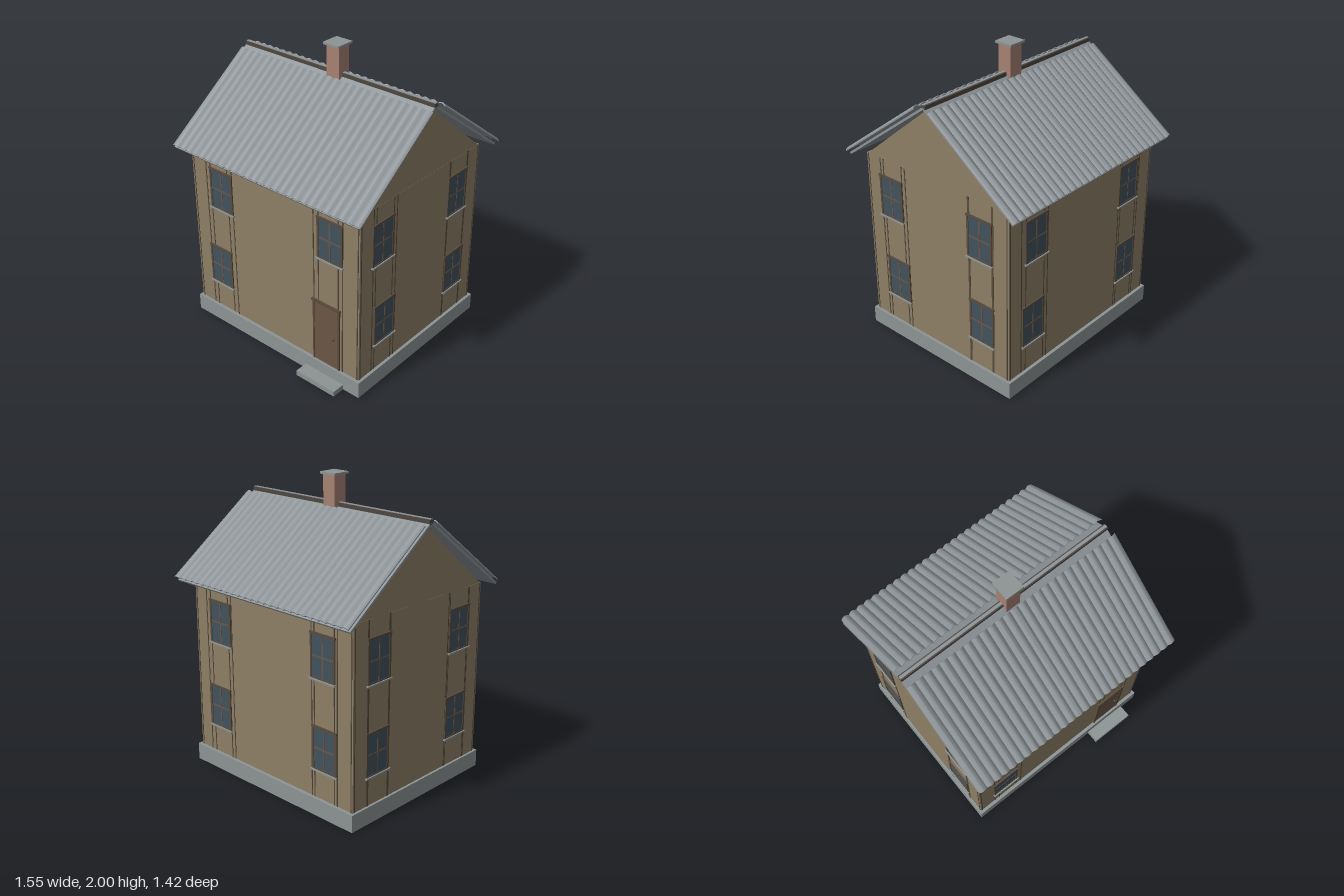
import * as THREE from 'three';
import { toCreasedNormals } from 'three/addons/utils/BufferGeometryUtils.js';

const mat = (name, color) => {
  const m = new THREE.MeshStandardMaterial({ color });
  m.name = name;
  return m;
};

export function createModel() {
  const M = {
    wall: mat('wall tan', 0x8e7f66),
    stone: mat('foundation grey', 0x8d9494),
    roof: mat('roof grey', 0x8d9498),
    brick: mat('brick', 0xa68272),
    frame: mat('frame brown', 0x5a4a3b),
    strip: mat('seam brown', 0x574c3e),
    door: mat('door brown', 0x6b5746),
    glass: mat('glass blue', 0x41525d),
    ridge: mat('ridge dark', 0x4f4640),
  };
  const house = new THREE.Group();
  house.name = 'house';

  // box given by its minimum and maximum along each axis
  const box = (parent, name, m, x0, x1, y0, y1, z0, z1) => {
    const mesh = new THREE.Mesh(new THREE.BoxGeometry(x1 - x0, y1 - y0, z1 - z0), m);
    mesh.position.set((x0 + x1) / 2, (y0 + y1) / 2, (z0 + z1) / 2);
    mesh.name = name;
    parent.add(mesh);
    return mesh;
  };

  // base, step and walls
  box(house, 'foundation', M.stone, -0.733, 0.71, 0, 0.115, -0.62, 0.62);
  box(house, 'doorStep', M.stone, 0.27, 0.585, 0, 0.037, 0.62, 0.71);
  box(house, 'walls', M.wall, -0.717, 0.69, 0.115, 1.3, -0.598, 0.598);

  // attic prism with the two gables
  const tri = new THREE.Shape([[-0.585, 1.3], [0.585, 1.3], [0, 1.78]].map((p) => new THREE.Vector2(...p)));
  const gable = new THREE.Mesh(new THREE.ExtrudeGeometry(tri, { depth: 1.405, bevelEnabled: false }), M.wall);
  gable.rotation.y = Math.PI / 2;
  gable.position.x = -0.716;
  gable.name = 'gable';
  house.add(gable);

  // window centred on u, standing on v, in the plane of a wall
  const W = 0.2, H = 0.295;
  const addWindow = (wall, u, v) => {
    const g = new THREE.Group();
    g.name = 'window';
    g.position.set(u, v, 0);
    const h = W / 2, b = 0.014;
    box(g, 'glass', M.glass, -h, h, 0, H, 0, 0.004);
    for (const s of [-1, 1]) box(g, 'frameSide', M.frame, s * (h - b / 2) - b / 2, s * (h - b / 2) + b / 2, 0, H, 0, 0.008);
    box(g, 'frameHead', M.frame, -h - 0.004, h + 0.004, H - b, H, 0, 0.01);
    box(g, 'frameFoot', M.frame, -h, h, 0, b, 0, 0.008);
    box(g, 'mullion', M.door, -0.005, 0.005, b, H - b, 0, 0.006);
    box(g, 'glazingBar', M.door, -h + b, h - b, H / 2 - 0.005, H / 2 + 0.005, 0, 0.006);
    box(g, 'sill', M.stone, -h - 0.007, h + 0.007, -0.004, 0.006, 0, 0.016);
    wall.add(g);
  };

  // each wall: turn, position, windows [u, v] and vertical seams
  const LO = 0.302, UP = 0.894;
  const faces = [
    { name: 'frontWall', turn: 0, pos: [0, 0, 0.598],
      windows: [[-0.455, UP], [-0.495, LO], [0.462, UP]],
      seams: [-0.704, -0.59, -0.553, -0.4, -0.36, 0.33, 0.368, 0.527, 0.56, 0.678] },
    { name: 'leftWall', turn: Math.PI / 2, pos: [0.69, 0, 0],
      windows: [[-0.385, UP], [-0.355, LO], [0.37, UP], [0.38, LO]],
      seams: [-0.585, -0.476, -0.45, -0.286, -0.256, 0.278, 0.286, 0.467, 0.475, 0.585] },
    { name: 'backWall', turn: Math.PI, pos: [0, 0, -0.598],
      windows: [[-0.445, UP], [-0.47, LO], [0.475, UP], [0.487, LO]],
      seams: [-0.678, -0.58, -0.54, -0.372, -0.34, 0.38, 0.402, 0.568, 0.592, 0.704] },
    { name: 'rightWall', turn: -Math.PI / 2, pos: [-0.717, 0, 0],
      windows: [[-0.38, UP], [-0.385, LO], [0.38, UP], [0.37, LO]],
      seams: [-0.585, -0.475, -0.467, -0.29, -0.282, 0.27, 0.282, 0.467, 0.477, 0.585] },
  ];
  for (const f of faces) {
    const wall = new THREE.Group();
    wall.name = f.name;
    wall.rotation.y = f.turn;
    wall.position.set(...f.pos);
    for (const u of f.seams) box(wall, 'seam', M.strip, u - 0.004, u + 0.004, 0.115, 1.3, 0, 0.002);
    for (const [u, v] of f.windows) addWindow(wall, u, v);
    house.add(wall);
  }

  // front door
  const door = new THREE.Group();
  door.name = 'frontDoor';
  door.position.z = 0.598;
  box(door, 'doorLeaf', M.door, 0.335, 0.53, 0.115, 0.565, 0, 0.006);
  box(door, 'doorPostRight', M.frame, 0.325, 0.337, 0.115, 0.568, 0, 0.01);
  box(door, 'doorPostLeft', M.frame, 0.528, 0.542, 0.115, 0.568, 0, 0.01);
  box(door, 'doorHead', M.frame, 0.317, 0.547, 0.565, 0.58, 0, 0.014);
  const knob = new THREE.Mesh(new THREE.SphereGeometry(0.01, 12, 8), M.ridge);
  knob.position.set(0.495, 0.34, 0.012);
  knob.name = 'doorKnob';
  door.add(knob);
  house.add(door);

  // corrugated sheet profile: a row of humps with even thickness
  const waves = 27, steps = 8, half = 0.773, top = [], under = [];
  for (let i = 0; i <= waves * steps; i++) {
    const x = -half + (2 * half * i) / (waves * steps);
    const y = 0.014 * Math.abs(Math.sin((Math.PI * i) / steps));
    top.push(new THREE.Vector2(x, y + 0.007));
    under.push(new THREE.Vector2(x, y));
  }
  const sheetShape = new THREE.Shape([...under, ...top.reverse()]);
  const sheetGeo = toCreasedNormals(
    new THREE.ExtrudeGeometry(sheetShape, { depth: 0.8, bevelEnabled: false }), 0.6);

  // two roof slopes: flat deck below, corrugated sheet above
  const pitch = Math.atan(0.735);
  for (const s of [1, -1]) {
    const slope = new THREE.Group();
    slope.name = s > 0 ? 'frontRoof' : 'backRoof';
    slope.rotation.y = s > 0 ? 0 : Math.PI;
    const deck = new THREE.Group();
    deck.position.y = 1.8;
    deck.rotation.x = pitch;
    const [x0, x1] = s > 0 ? [-0.775, 0.752] : [-0.752, 0.775];
    box(deck, 'roofDeck', M.roof, x0, x1, -0.014, 0, 0, 0.857);
    const sheet = new THREE.Mesh(sheetGeo, M.roof);
    sheet.name = 'corrugatedSheet';
    sheet.position.set(0, 1.777, 0.055);
    sheet.rotation.x = pitch;
    slope.add(deck, sheet);
    house.add(slope);
  }

  // ridge beam with a narrow cap
  box(house, 'ridgeBeam', M.ridge, -0.775, 0.752, 1.78, 1.811, -0.019, 0.016);
  box(house, 'ridgeCap', M.roof, -0.775, 0.752, 1.811, 1.815, -0.011, 0.008);

  // chimney
  box(house, 'chimney', M.brick, -0.043, 0.057, 1.65, 1.985, -0.05, 0.047);
  box(house, 'chimneyCap', M.stone, -0.057, 0.07, 1.985, 2, -0.066, 0.063);
  return house;
}
